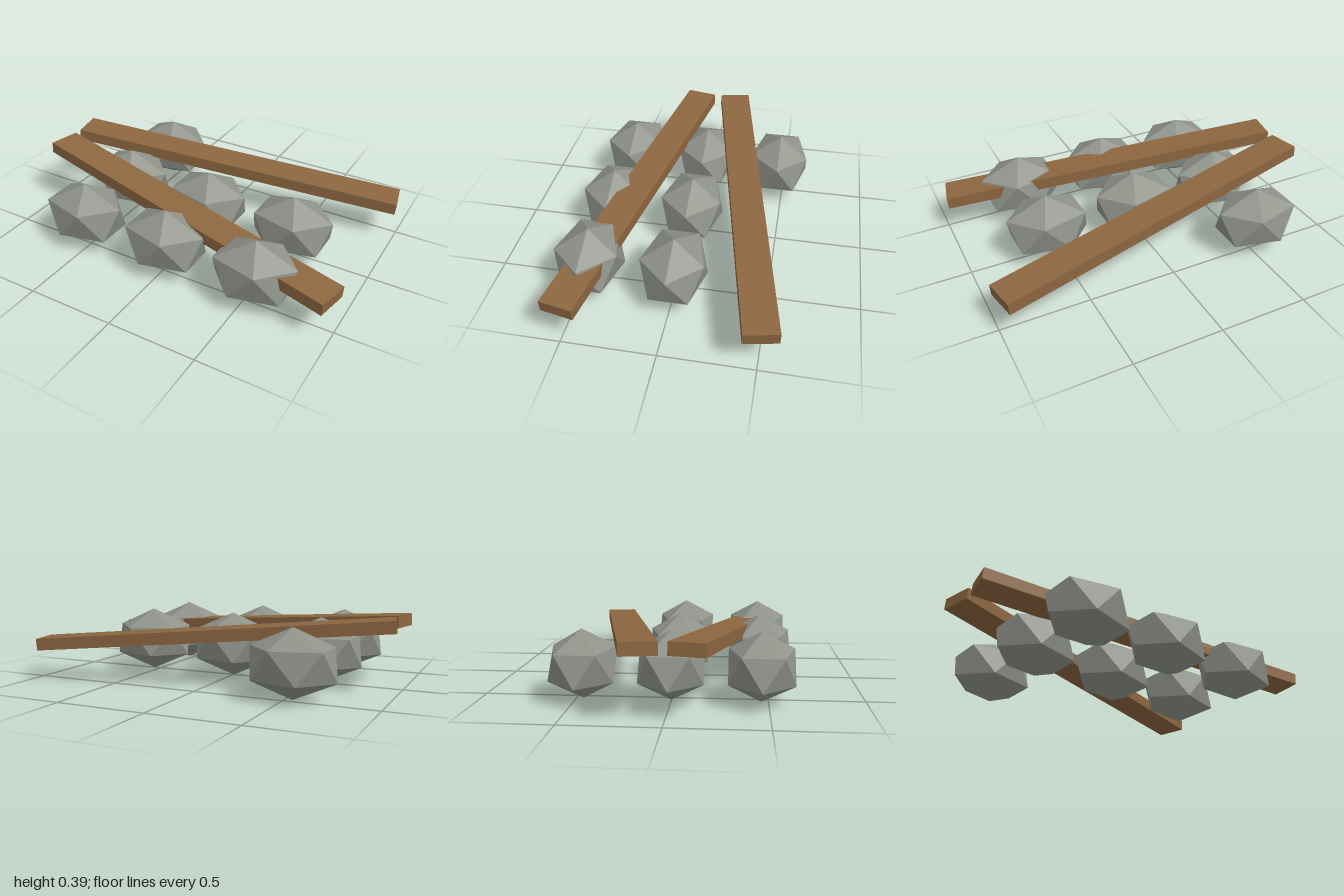
import * as THREE from 'three';

export function createModel() {
  const model = new THREE.Group();
  model.name = 'rocksAndPlanks';

  const stone = new THREE.MeshStandardMaterial({ color: 0x8f938a });
  stone.name = 'grey stone';
  stone.flatShading = true;
  const wood = new THREE.MeshStandardMaterial({ color: 0x8c6640 });
  wood.name = 'brown wood';

  // Rocks: icosahedra standing on one corner, stretched along x
  const rockGeometry = new THREE.IcosahedronGeometry(1, 0);
  rockGeometry.rotateZ(-Math.atan(2 / (1 + Math.sqrt(5))));
  rockGeometry.scale(0.262, 0.185, 0.18 / 0.8944);

  const pitchX = 0.54;
  const pitchZ = 0.464;
  const rows = [[-1, [-1]], [0, [-1, 0, 1]], [1, [-1, 0, 1]]];
  for (const [row, columns] of rows) {
    for (const column of columns) {
      const rock = new THREE.Mesh(rockGeometry, stone);
      rock.name = 'rock';
      rock.position.set(column * pitchX, 0.185, row * pitchZ);
      model.add(rock);
    }
  }

  // Planks: sloping down towards +x and spreading apart
  const plankGeometry = new THREE.BoxGeometry(2.004, 0.067, 0.184);
  for (const side of [-1, 1]) {
    const plank = new THREE.Mesh(plankGeometry, wood);
    plank.name = side > 0 ? 'frontPlank' : 'backPlank';
    plank.position.set(0, 0.281, side * 0.31);
    plank.rotation.set(0, -side * 0.2, -0.08, 'YXZ');
    model.add(plank);
  }

  return model;
}
